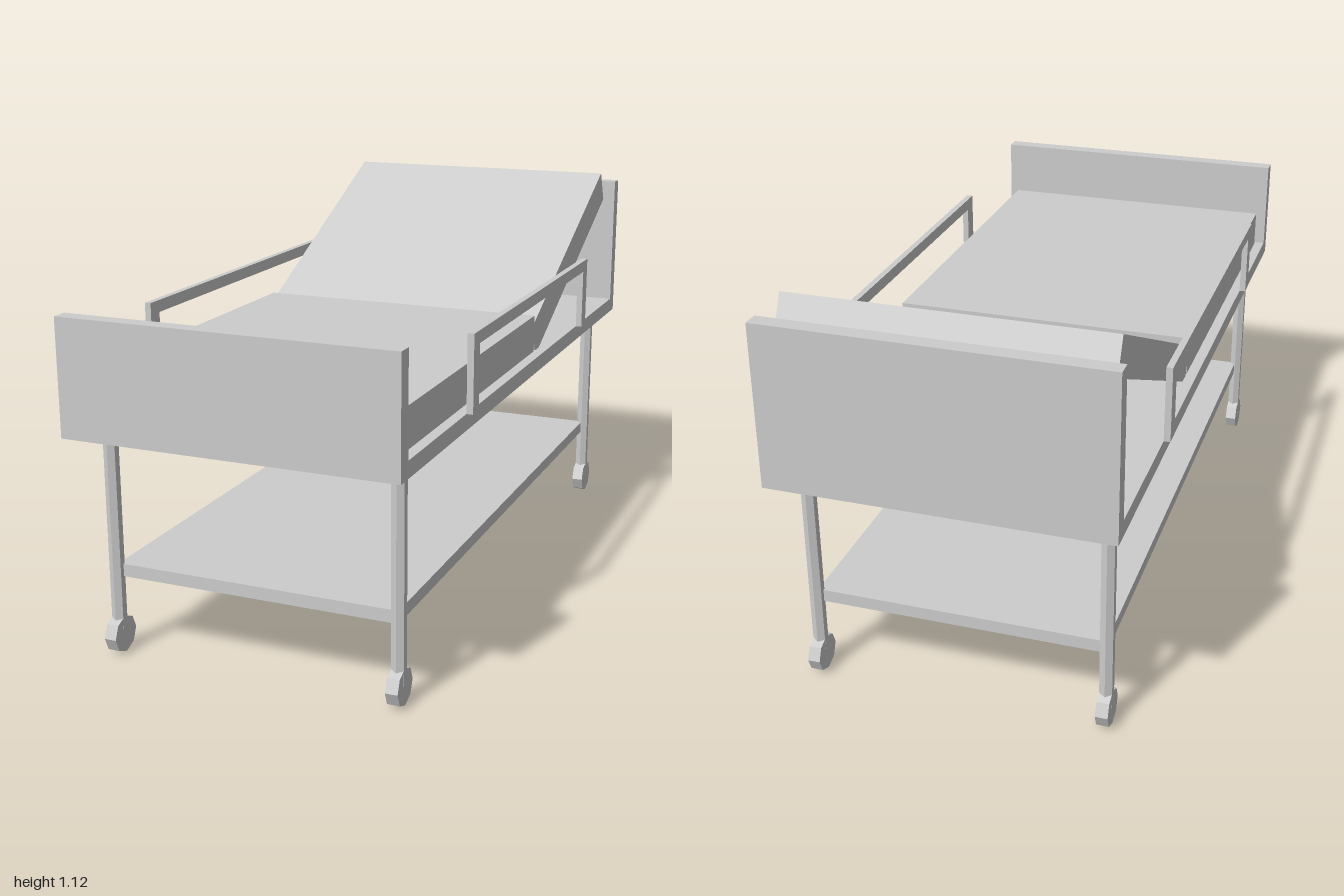
import * as THREE from 'three';

export function createModel() {
  const model = new THREE.Group();
  const grey = new THREE.MeshStandardMaterial({ color: 0xcccccc, flatShading: true });
  grey.name = 'light grey';

  const add = (name, geometry, x, y, z, parent = model) => {
    const mesh = new THREE.Mesh(geometry, grey);
    mesh.name = name;
    mesh.position.set(x, y, z);
    parent.add(mesh);
    return mesh;
  };
  // Box given by its lower and upper corners
  const box = (name, [x0, y0, z0], [x1, y1, z1]) =>
    add(name, new THREE.BoxGeometry(x1 - x0, y1 - y0, z1 - z0),
      (x0 + x1) / 2, (y0 + y1) / 2, (z0 + z1) / 2);

  // Bed frame with end boards
  box('deck', [-0.46, 0.63, -0.955], [0.46, 0.675, 0.955]);
  box('footboard', [-0.46, 0.63, 0.955], [0.46, 0.945, 1]);
  box('headboard', [-0.46, 0.63, -1], [0.46, 1.08, -0.955]);

  // Flat mattress and raised back section
  box('mattress', [-0.43, 0.675, -0.14], [0.43, 0.784, 0.94]);
  const back = add('raisedBackrest', new THREE.BoxGeometry(0.86, 0.102, 0.842), 0, 0.888, -0.52);
  back.rotation.x = THREE.MathUtils.degToRad(25.6);

  // Lower shelf
  box('shelf', [-0.4, 0.215, -0.862], [0.4, 0.25, 0.862]);

  // Side rail: an upside-down U drawn along the bed, then extruded sideways
  const railShape = new THREE.Shape([
    [-0.55, 0.675], [-0.505, 0.675], [-0.505, 0.853], [0.505, 0.853],
    [0.505, 0.675], [0.55, 0.675], [0.55, 0.887], [-0.55, 0.887],
  ].map(([a, b]) => new THREE.Vector2(a, b)));
  const railGeometry = new THREE.ExtrudeGeometry(railShape, { depth: 0.018, bevelEnabled: false });
  railGeometry.rotateY(Math.PI / 2);

  // Legs and casters
  const legGeometry = new THREE.CylinderGeometry(0.02, 0.02, 0.575, 6);
  const wheelGeometry = new THREE.CylinderGeometry(0.051, 0.051, 0.034, 8);
  wheelGeometry.rotateZ(Math.PI / 2);

  for (const side of [1, -1]) {
    const sideName = side > 0 ? 'left' : 'right';
    add(sideName + 'Rail', railGeometry, side > 0 ? 0.46 : -0.478, 0, 0);
    for (const end of [1, -1]) {
      const leg = new THREE.Group();
      leg.name = sideName + (end > 0 ? 'Front' : 'Back') + 'Leg';
      leg.position.set(side * 0.403, 0, end * 0.866);
      add('post', legGeometry, 0, 0.3425, 0, leg);
      add('wheel', wheelGeometry, 0, 0.051, 0, leg);
      model.add(leg);
    }
  }
  return model;
}
